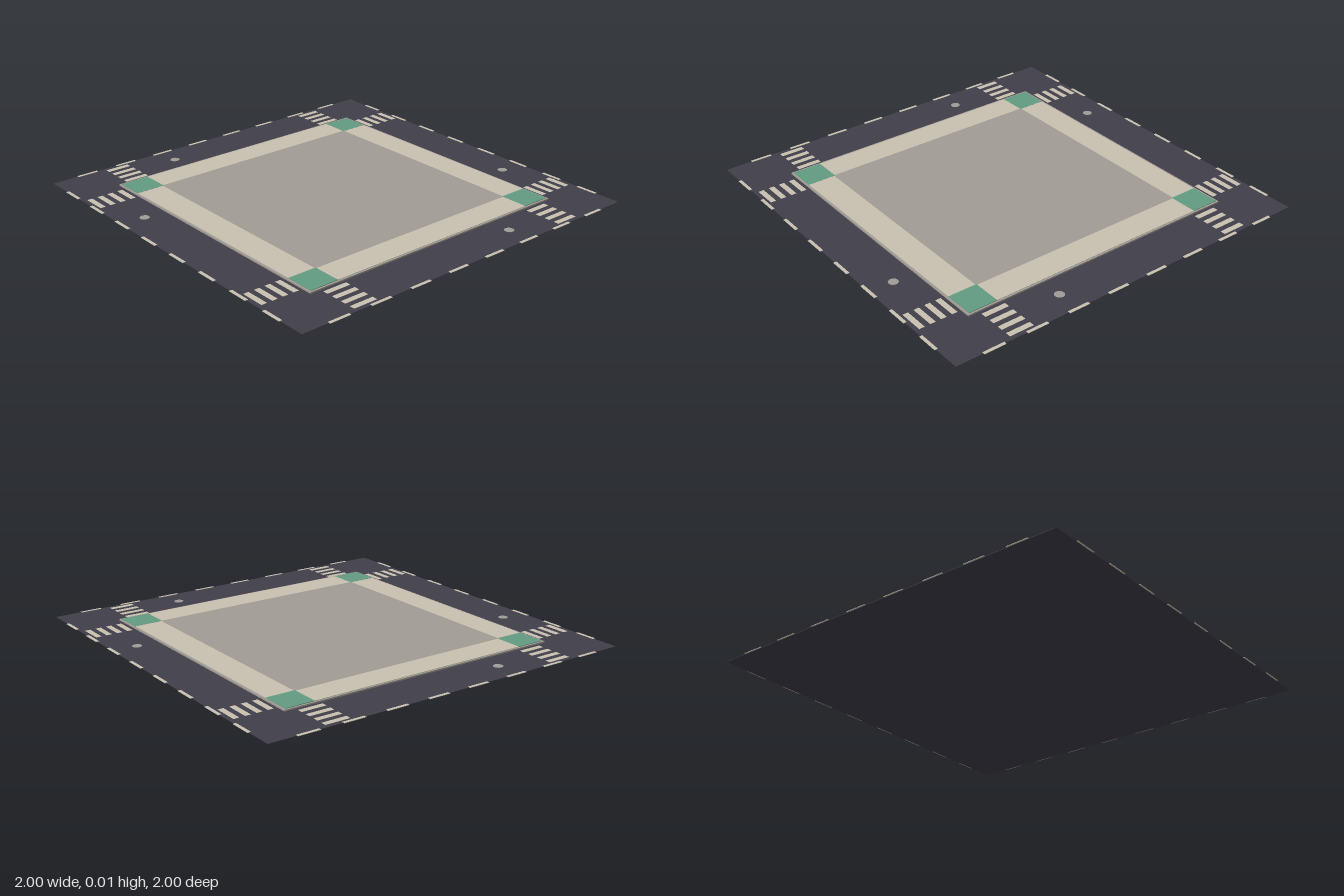
import * as THREE from 'three';

const mat = (name, color) => {
  const m = new THREE.MeshStandardMaterial({ color });
  m.name = name;
  return m;
};

export function createModel() {
  const asphalt = mat('asphalt', 0x403e4a);
  const concrete = mat('concrete', 0xa19c94);
  const paving = mat('paving', 0xc9c1b0);
  const green = mat('cornerGreen', 0x639b82);

  const city = new THREE.Group();
  city.name = 'cityBlock';

  const add = (parent, name, geometry, material, x, y, z) => {
    const mesh = new THREE.Mesh(geometry, material);
    mesh.name = name;
    mesh.position.set(x, y, z);
    parent.add(mesh);
    return mesh;
  };
  // Flat slab given by its centre, footprint, bottom and top
  const slab = (parent, name, material, x, z, w, d, y0, y1) =>
    add(parent, name, new THREE.BoxGeometry(w, y1 - y0, d), material, x, (y0 + y1) / 2, z);

  // Road, raised kerb and central lot
  slab(city, 'road', asphalt, 0, 0, 1.986, 1.986, 0, 0.002);
  slab(city, 'kerb', concrete, 0, 0, 1.51, 1.51, 0.002, 0.009);
  slab(city, 'lot', concrete, 0, 0, 1.2, 1.2, 0.009, 0.011);

  // Each side repeats the same road markings and pavement
  for (let side = 0; side < 4; side++) {
    const g = new THREE.Group();
    g.name = 'streetSide';
    g.rotation.y = side * Math.PI / 2;
    city.add(g);

    slab(g, 'sidewalk', paving, 0, 0.6725, 1.19, 0.145, 0.009, 0.011);
    slab(g, 'cornerPad', green, 0.67, 0.67, 0.15, 0.15, 0.009, 0.0115);

    // Centre-line dashes along the outer edge
    for (let i = 0; i < 8; i++) {
      slab(g, 'laneDash', paving, (i - 3.5) * 0.228, 0.992, 0.113, 0.016, 0.001, 0.003);
    }
    // Zebra crossings near both corners
    for (const s of [-1, 1]) {
      for (let i = 0; i < 4; i++) {
        slab(g, 'crossingStripe', paving, s * 0.637, 0.787 + i * 0.0565, 0.126, 0.028, 0.002, 0.003);
      }
    }
    // Manhole cover, mirrored across the block diagonal
    const x = side === 0 || side === 2 ? 0.347 : -0.347;
    add(g, 'manholeCover', new THREE.CylinderGeometry(0.025, 0.025, 0.001, 10),
      concrete, x, 0.0025, 0.867);
  }
  return city;
}
